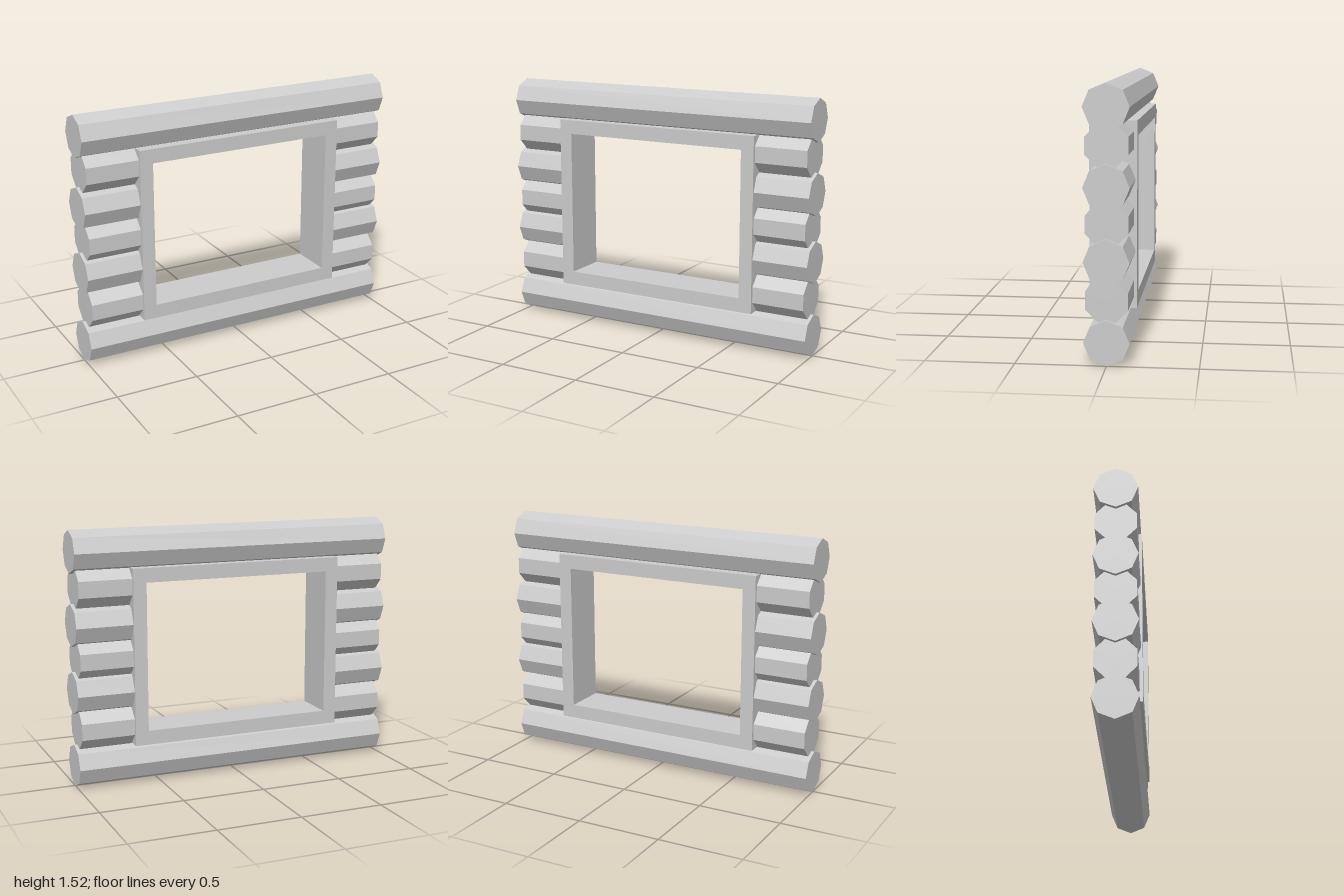
import * as THREE from 'three';

const material = new THREE.MeshStandardMaterial({ color: 0xcccccc, flatShading: true });

// Octagonal log lying along x; turn rotates its facets
function makeLog(name, x0, x1, y, turn) {
  const geo = new THREE.CylinderGeometry(0.126, 0.126, x1 - x0, 8, 1, false, turn);
  geo.rotateZ(Math.PI / 2);
  const log = new THREE.Mesh(geo, material);
  log.name = name;
  log.position.set((x0 + x1) / 2, y, 0);
  return log;
}

function rectangle(PathType, x, y0, y1) {
  return new PathType([[-x, y0], [x, y0], [x, y1], [-x, y1]].map(p => new THREE.Vector2(...p)));
}

export function createModel() {
  const model = new THREE.Group();
  model.name = 'logWallWithWindow';

  // Full-width logs below and above the window
  model.add(makeLog('bottomLog', -1, 1, 0.126, 0));
  model.add(makeLog('topLog', -1, 1, 1.393, 0));

  // Short logs on both sides, alternating in length and facet angle
  const heights = [0.352, 0.566, 0.765, 0.967, 1.187];
  for (const side of [-1, 1]) {
    const group = new THREE.Group();
    group.name = side > 0 ? 'leftLogs' : 'rightLogs';
    heights.forEach((y, i) => {
      const inset = i % 2 === 0;
      const outer = side * (inset ? 0.98 : 1);
      const inner = side * 0.635;
      group.add(makeLog('sideLog', Math.min(inner, outer), Math.max(inner, outer), y, inset ? Math.PI / 8 : 0));
    });
    model.add(group);
  }

  // Window frame with an open middle
  const shape = rectangle(THREE.Shape, 0.66, 0.24, 1.295);
  shape.holes.push(rectangle(THREE.Path, 0.58, 0.325, 1.21));
  const frameGeo = new THREE.ExtrudeGeometry(shape, { depth: 0.268, bevelEnabled: false });
  frameGeo.translate(0, 0, -0.134);
  const frame = new THREE.Mesh(frameGeo, material);
  frame.name = 'windowFrame';
  model.add(frame);

  return model;
}
